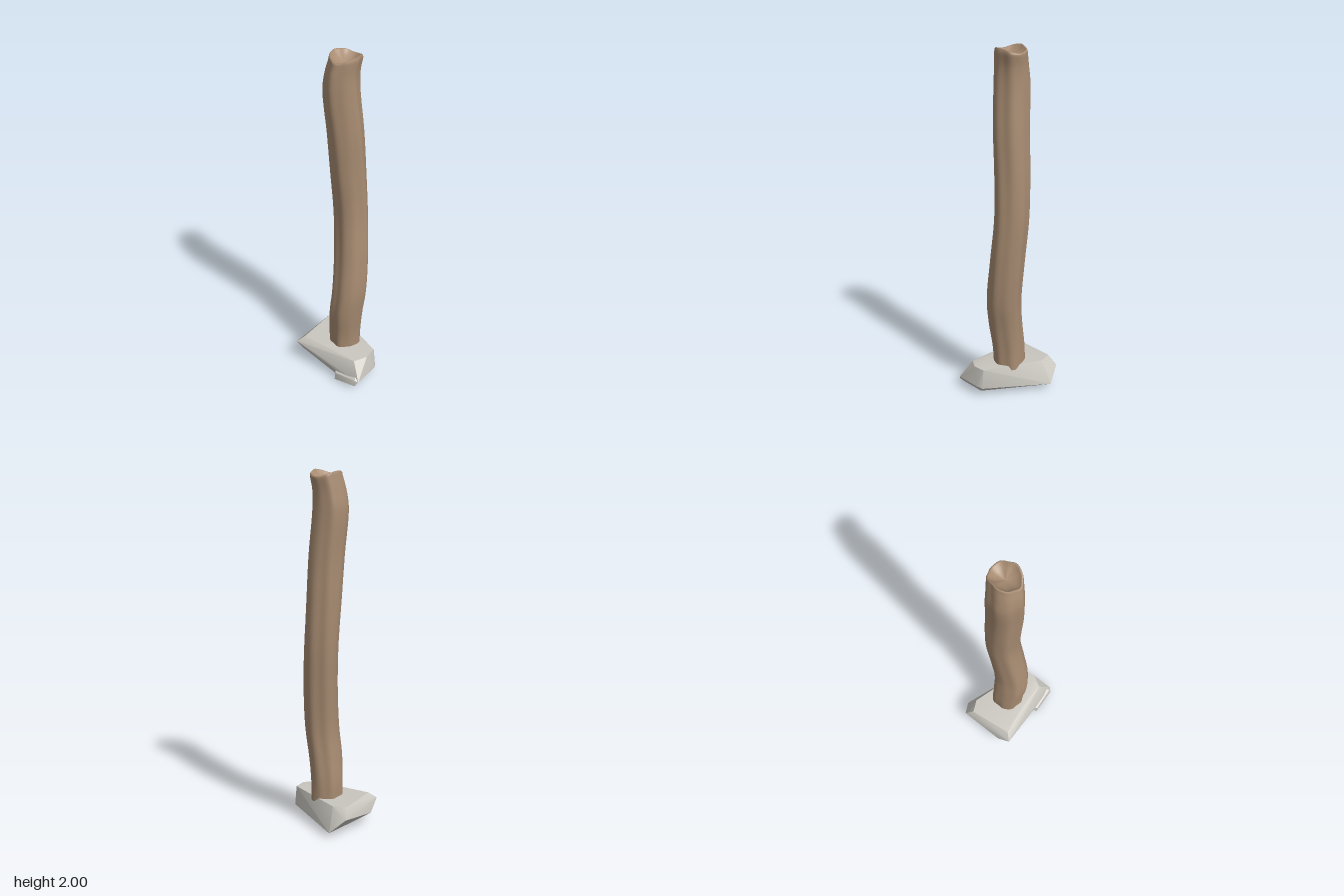
import * as THREE from 'three';
import { mergeVertices, toCreasedNormals } from 'three/addons/utils/BufferGeometryUtils.js';
import { ConvexGeometry } from 'three/addons/geometries/ConvexGeometry.js';

const wood = new THREE.MeshStandardMaterial({ color: 0xa88c72, side: THREE.DoubleSide });
const stone = new THREE.MeshStandardMaterial({ color: 0xc9c6bf });

// Trunk sections: [y, min x, max x, min z, max z]
const SECTIONS = [
  [0.14, -0.09, 0.09, -0.09, 0.1],
  [0.25, -0.09, 0.095, -0.088, 0.105],
  [0.4, -0.075, 0.112, -0.09, 0.12],
  [0.55, -0.062, 0.13, -0.098, 0.112],
  [0.8, -0.07, 0.126, -0.115, 0.082],
  [1.05, -0.086, 0.11, -0.128, 0.064],
  [1.3, -0.097, 0.1, -0.122, 0.078],
  [1.55, -0.105, 0.094, -0.106, 0.096],
  [1.8, -0.12, 0.076, -0.09, 0.11],
  [1.9, -0.105, 0.072, -0.09, 0.104],
  [1.98, -0.088, 0.08, -0.098, 0.09],
];

// Smooth interpolation of the section table, one curve for x limits and one for z limits
const curveX = new THREE.CatmullRomCurve3(SECTIONS.map(s => new THREE.Vector3(s[1], s[0], s[2])));
const curveZ = new THREE.CatmullRomCurve3(SECTIONS.map(s => new THREE.Vector3(s[3], s[0], s[4])));

// Gnarled outline with shallow grooves that wander along the trunk
function ripple(a, t) {
  return 0.965 + 0.035 * Math.cos(5 * a + 1.2 * Math.sin(t * 5)) + 0.02 * Math.cos(8 * a + 2 - t * 2);
}

function createTrunk() {
  const sides = 48, rows = 50, positions = [], index = [];
  const addRing = (t, scale, height) => {
    const px = curveX.getPoint(t), pz = curveZ.getPoint(t);
    for (let i = 0; i < sides; i++) {
      const a = i / sides * Math.PI * 2;
      const r = ripple(a, t) * scale;
      const x = (px.x + px.z) / 2 + Math.cos(a) * r * (px.z - px.x) / 2;
      const z = (pz.x + pz.z) / 2 + Math.sin(a) * r * (pz.z - pz.x) / 2;
      positions.push(x, height(px.y, Math.cos(a) * scale), z);
    }
  };
  // Outer bark, its last rows bending into the saddle-shaped rim
  for (let j = 0; j <= rows; j++) {
    const t = j / rows;
    addRing(t, 1, (y, c) => y + Math.max(0, (t - 0.9) / 0.1) * (0.016 * c * c - 0.016));
  }
  // Rounded lip and the hollowed end
  const hollow = [[0.98, 1.97, 0.026], [0.93, 1.974, 0.026], [0.87, 1.972, 0.024], [0.8, 1.965, 0.02],
    [0.6, 1.955, 0.014], [0.3, 1.947, 0.008], [0.001, 1.945, 0]];
  for (const [scale, y, rise] of hollow) addRing(1, scale, (_, c) => y + rise * c * c / (scale * scale));
  const rings = rows + hollow.length;
  for (let j = 0; j < rings; j++) {
    for (let i = 0; i < sides; i++) {
      const a = j * sides + i, b = j * sides + (i + 1) % sides;
      index.push(a, a + sides, b, b, a + sides, b + sides);
    }
  }
  const geometry = new THREE.BufferGeometry();
  geometry.setAttribute('position', new THREE.Float32BufferAttribute(positions, 3));
  geometry.setIndex(index);
  geometry.computeVertexNormals();
  return geometry;
}

// Hewn rock from corner points, softened across shallow edges
function createRock(corners) {
  const geometry = new ConvexGeometry(corners.map(c => new THREE.Vector3(...c)));
  geometry.deleteAttribute('normal');
  return toCreasedNormals(mergeVertices(geometry), 0.6);
}

export function createModel() {
  const group = new THREE.Group();
  const add = (name, geometry, material) => {
    const mesh = new THREE.Mesh(geometry, material);
    mesh.name = name;
    group.add(mesh);
  };

  add('woodenPost', createTrunk(), wood);

  add('stoneFooting', createRock([
    // top face
    [-0.21, 0.165, -0.1], [-0.14, 0.165, -0.13], [0.2, 0.165, -0.015],
    [0.208, 0.163, 0.06], [0.17, 0.155, 0.13], [0.02, 0.165, 0.12], [-0.19, 0.165, 0.15],
    // outer corners
    [-0.235, 0.11, -0.145], [-0.155, 0.03, -0.19], [-0.225, 0.13, 0.187], [-0.235, 0.065, 0.11],
    [-0.19, 0.1, 0.18], [0.21, 0.05, -0.017], [0.228, 0.06, 0.01], [0.235, 0.055, 0.17],
    // underside
    [-0.15, 0.03, 0.12], [0.06, 0.01, 0.155], [0.2, 0.022, 0.01], [0.215, 0.025, 0.17],
  ]), stone);

  // Chipped ledge along the lower front corner
  add('stoneLedge', createRock([
    [0.04, 0.075, 0.14], [0.07, 0, 0.187], [0.075, 0.05, 0.187], [0.22, 0.03, 0.186],
    [0.215, 0.065, 0.18], [0.235, 0.055, 0.17], [0.2, 0.09, 0.14], [0.2, 0.025, 0.1], [0.06, 0.012, 0.13],
  ]), stone);

  return group;
}
